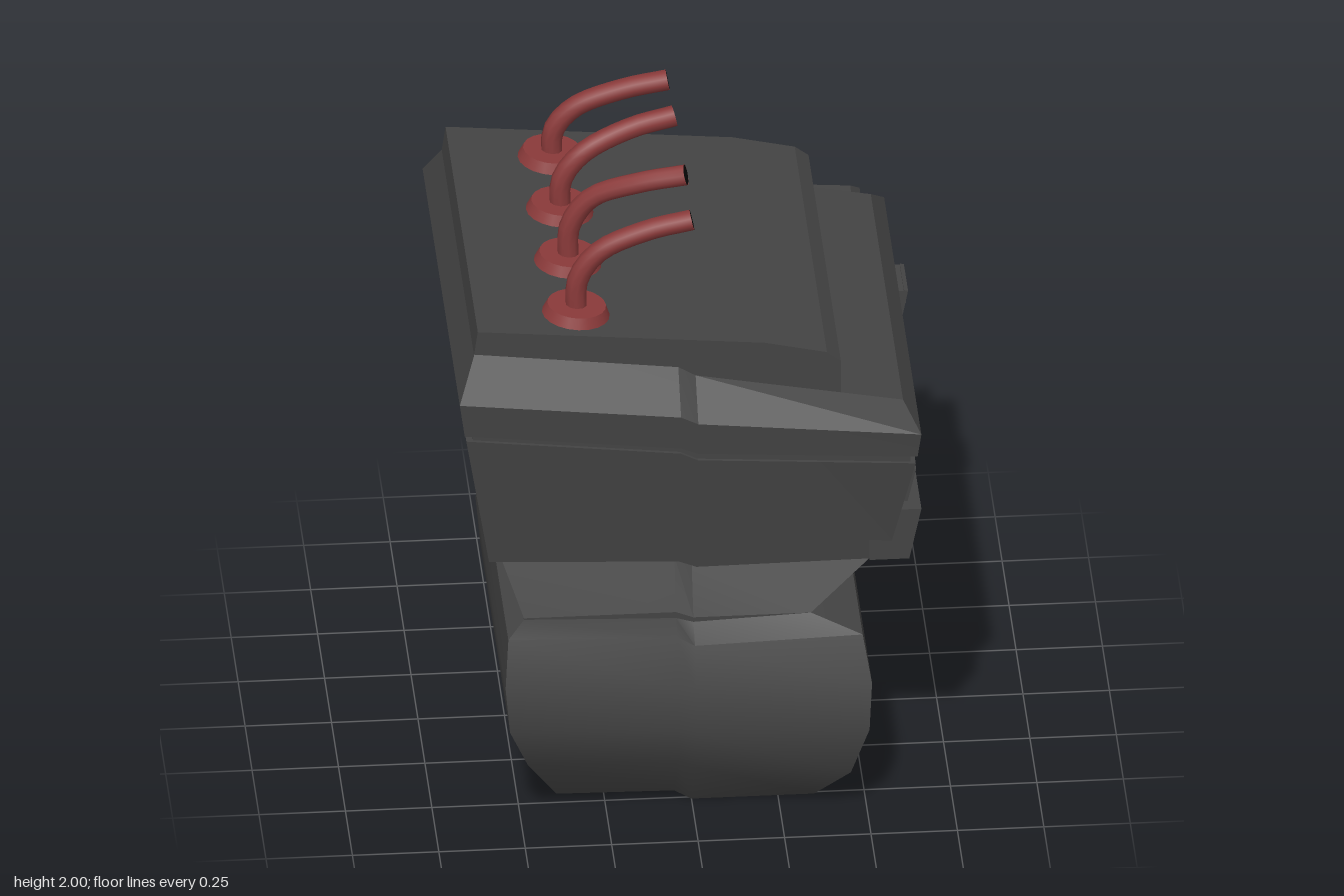
import * as THREE from 'three';
import { toCreasedNormals } from 'three/addons/utils/BufferGeometryUtils.js';

const mat = (color) => new THREE.MeshStandardMaterial({ color, side: THREE.DoubleSide });

// Loft from top to bottom; each level has columns p = [[x, y], ...] and front / back depths f, b
function loft(levels, crease = 0.5) {
  const n = levels[0].p.length, m = 2 * n, pos = [], idx = [];
  for (const { p, f, b } of levels) {
    p.forEach(([x, y]) => pos.push(x, y, f));
    [...p].reverse().forEach(([x, y]) => pos.push(x, y, b));
  }
  for (let l = 0; l < levels.length - 1; l++) {
    for (let i = 0; i < m; i++) {
      const j = (i + 1) % m, t = l * m, u = t + m;
      idx.push(t + i, u + i, u + j, t + i, u + j, t + j);
    }
  }
  const e = (levels.length - 1) * m;
  for (let k = 0; k < n - 1; k++) {
    const a = k, b = k + 1, c = m - 2 - k, d = m - 1 - k;
    idx.push(a, b, c, a, c, d, e + a, e + c, e + b, e + a, e + d, e + c);
  }
  const g = new THREE.BufferGeometry();
  g.setAttribute('position', new THREE.Float32BufferAttribute(pos, 3));
  g.setIndex(idx);
  return toCreasedNormals(g, crease);
}

// Level with the small step down the middle: left x, y, the two step heights, right x, y
const row = (xl, yl, ya, yb, xr, yr, f, b) =>
  ({ p: [[xl, yl], [-0.05, ya], [0, yb], [xr, yr]], f, b });

// Outline wrapped around two circles, each given as x, y, radius
function wrapAround(A, B, Type = THREE.Shape) {
  const [ax, ay, ar] = A, [bx, by, br] = B;
  const dir = Math.atan2(by - ay, bx - ax);
  const off = Math.acos((ar - br) / Math.hypot(bx - ax, by - ay));
  const s = new Type();
  s.absarc(ax, ay, ar, dir + off, dir - off + Math.PI * 2, false);
  s.absarc(bx, by, br, dir - off, dir + off, false);
  s.closePath();
  return s;
}

function gearGeometry(r, teeth, hole, depth) {
  const s = new THREE.Shape();
  const step = (Math.PI * 2) / teeth;
  for (let i = 0; i < teeth; i++) {
    [[0, 0.9], [0.12, 1], [0.58, 1], [0.7, 0.9]].forEach(([t, k], j) => {
      const a = (i + t) * step;
      s[i + j ? 'lineTo' : 'moveTo'](Math.cos(a) * r * k, Math.sin(a) * r * k);
    });
  }
  s.closePath();
  s.holes.push(new THREE.Path().absarc(0, 0, hole, 0, Math.PI * 2, true));
  return new THREE.ExtrudeGeometry(s, { depth, bevelEnabled: false, curveSegments: 12 });
}

export function createModel() {
  const model = new THREE.Group();
  const grey = mat(0x444444), red = mat(0x8a3a3a), black = mat(0x0c0c0c);
  const add = (name, geo, m, x = 0, y = 0, z = 0, rz = 0, parent = model) => {
    const mesh = new THREE.Mesh(geo, m);
    mesh.name = name;
    mesh.position.set(x, y, z);
    mesh.rotation.z = rz;
    parent.add(mesh);
    return mesh;
  };

  // Raised top cover
  add('topCover', loft([
    { p: [[-0.63, 1.685], [0.2, 1.61], [0.38, 1.57], [0.42, 1.54]], f: 0.66, b: -0.5 },
    { p: [[-0.645, 1.58], [0.2, 1.45], [0.38, 1.42], [0.42, 1.4]], f: 0.66, b: -0.5 },
  ], 0.3), grey);

  // Cylinder head with bevelled shoulder
  add('cylinderHead', loft([
    row(-0.64, 1.61, 1.54, 1.51, 0.6, 1.4, 0.66, -0.5),
    row(-0.69, 1.5, 1.43, 1.405, 0.645, 1.34, 0.76, -0.58),
    row(-0.675, 1.39, 1.32, 1.3, 0.635, 1.26, 0.75, -0.575),
    row(-0.65, 1.385, 1.315, 1.295, 0.615, 1.255, 0.735, -0.56),
    row(-0.65, 1.36, 1.29, 1.27, 0.615, 1.235, 0.735, -0.56),
  ], 0.2), grey);

  // Main block with its undercut and neck
  add('engineBlock', loft([
    row(-0.67, 1.37, 1.3, 1.275, 0.63, 1.235, 0.745, -0.57),
    row(-0.6, 0.93, 0.905, 0.885, 0.55, 0.89, 0.69, -0.49),
    row(-0.565, 0.87, 0.83, 0.81, 0.535, 0.82, 0.52, -0.475),
    row(-0.555, 0.85, 0.82, 0.79, 0.52, 0.795, 0.52, -0.47),
    row(-0.49, 0.67, 0.67, 0.65, 0.34, 0.65, 0.58, -0.42),
    row(-0.49, 0.6, 0.6, 0.58, 0.34, 0.6, 0.58, -0.42),
  ], 0.2), grey);

  // Rounded sump
  add('crankcase', loft([
    row(-0.49, 0.665, 0.65, 0.635, 0.34, 0.65, 0.58, -0.42),
    row(-0.54, 0.635, 0.62, 0.59, 0.485, 0.605, 0.64, -0.41),
    row(-0.552, 0.5, 0.48, 0.47, 0.508, 0.47, 0.69, -0.39),
    row(-0.54, 0.36, 0.34, 0.33, 0.5, 0.32, 0.7, -0.375),
    row(-0.485, 0.22, 0.21, 0.19, 0.45, 0.15, 0.65, -0.34),
    row(-0.39, 0.035, 0.03, 0, 0.355, 0, 0.51, -0.295),
  ]), grey);

  // Sloping rear cover, upper and lower halves
  add('upperRearCover', loft([
    row(-0.6, 1.475, 1.43, 1.4, 0.55, 1.36, -0.55, -0.62),
    row(-0.63, 1.44, 1.4, 1.37, 0.58, 1.33, -0.55, -0.655),
    row(-0.585, 1.04, 1.02, 1, 0.53, 1, -0.49, -0.65),
    row(-0.5, 0.66, 0.65, 0.63, 0.4, 0.64, -0.39, -0.47),
  ], 0.2), grey);
  add('lowerRearCover', loft([
    row(-0.49, 0.66, 0.65, 0.63, 0.42, 0.63, -0.36, -0.45),
    row(-0.52, 0.625, 0.615, 0.59, 0.465, 0.6, -0.36, -0.505),
    row(-0.535, 0.5, 0.49, 0.47, 0.49, 0.47, -0.35, -0.54),
    row(-0.52, 0.36, 0.34, 0.33, 0.48, 0.32, -0.34, -0.555),
    row(-0.465, 0.22, 0.21, 0.2, 0.43, 0.18, -0.33, -0.53),
    row(-0.39, 0.09, 0.085, 0.075, 0.36, 0.075, -0.32, -0.48),
  ], 0.3), grey);

  // Side ledge, panel and hanging bracket
  const ledge = new THREE.Shape([[0.5, 0.89], [0.615, 0.89], [0.65, 1.055], [0.5, 1.055]]
    .map(([x, y]) => new THREE.Vector2(x, y)));
  add('sideLedge', new THREE.ExtrudeGeometry(ledge, { depth: 1.2, bevelEnabled: false }), grey, 0, 0, -0.5);
  add('sidePanel', new THREE.BoxGeometry(0.03, 0.11, 0.58), grey, 0.607, 1.145, 0.42, -0.23);
  add('bracketMount', new THREE.BoxGeometry(0.06, 0.1, 0.12), grey, 0.61, 1.145, -0.425);
  add('bracketArm', new THREE.BoxGeometry(0.09, 0.04, 0.15), grey, 0.645, 1.14, -0.425);
  add('bracketPlate', new THREE.BoxGeometry(0.012, 0.37, 0.15), grey, 0.655, 0.98, -0.425, -0.19);

  // Red pipes on flanges: base z, end z, end height
  [[0.53, 0.53, 1.955], [0.24, 0.31, 1.975], [-0.05, -0.1, 1.93], [-0.345, -0.345, 1.905]].forEach(([z, ze, ye]) => {
    const pipe = new THREE.Group();
    pipe.name = 'pipe';
    model.add(pipe);
    add('flange', new THREE.CylinderGeometry(0.085, 0.1, 0.035, 20), red, -0.335, 1.672, z, -0.09, pipe);
    const h = ye - 1.66, dz = ze - z;
    const curve = new THREE.CatmullRomCurve3([
      [-0.335, 1.66, z], [-0.33, 1.66 + h * 0.38, z], [-0.27, 1.66 + h * 0.68, z + dz * 0.12],
      [-0.13, 1.66 + h * 0.9, z + dz * 0.7], [0, ye, ze],
    ].map((p) => new THREE.Vector3(...p)));
    add('tube', new THREE.TubeGeometry(curve, 14, 0.031, 10), red, 0, 0, 0, 0, pipe);
    const tip = add('tubeOpening', new THREE.CircleGeometry(0.03, 10), black, 0, ye, ze, 0, pipe);
    tip.lookAt(curve.getPointAt(1).add(curve.getTangentAt(1)));
  });

  // Belt drive at the rear
  const big = [-0.24, 1.11], small = [0.33, 0.88];
  const belt = wrapAround([...big, 0.36], [...small, 0.17]);
  belt.holes.push(wrapAround([...big, 0.325], [...small, 0.14], THREE.Path));
  add('belt', toCreasedNormals(new THREE.ExtrudeGeometry(belt,
    { depth: 0.11, bevelEnabled: false, curveSegments: 20 }), 0.5), black, 0, 0, -0.77);
  add('largeGear', gearGeometry(0.325, 22, 0.13, 0.08), grey, ...big, -0.755);
  add('smallGear', gearGeometry(0.14, 16, 0.065, 0.08), grey, ...small, -0.755);
  const shaft = (name, r, len, [x, y], z) => {
    add(name, new THREE.CylinderGeometry(r, r, len, 20), grey, x, y, z).rotation.x = Math.PI / 2;
  };
  shaft('largeShaft', 0.132, 0.14, big, -0.66);
  shaft('largeHub', 0.09, 0.2, big, -0.66);
  shaft('smallShaft', 0.055, 0.2, small, -0.6);
  return model;
}
